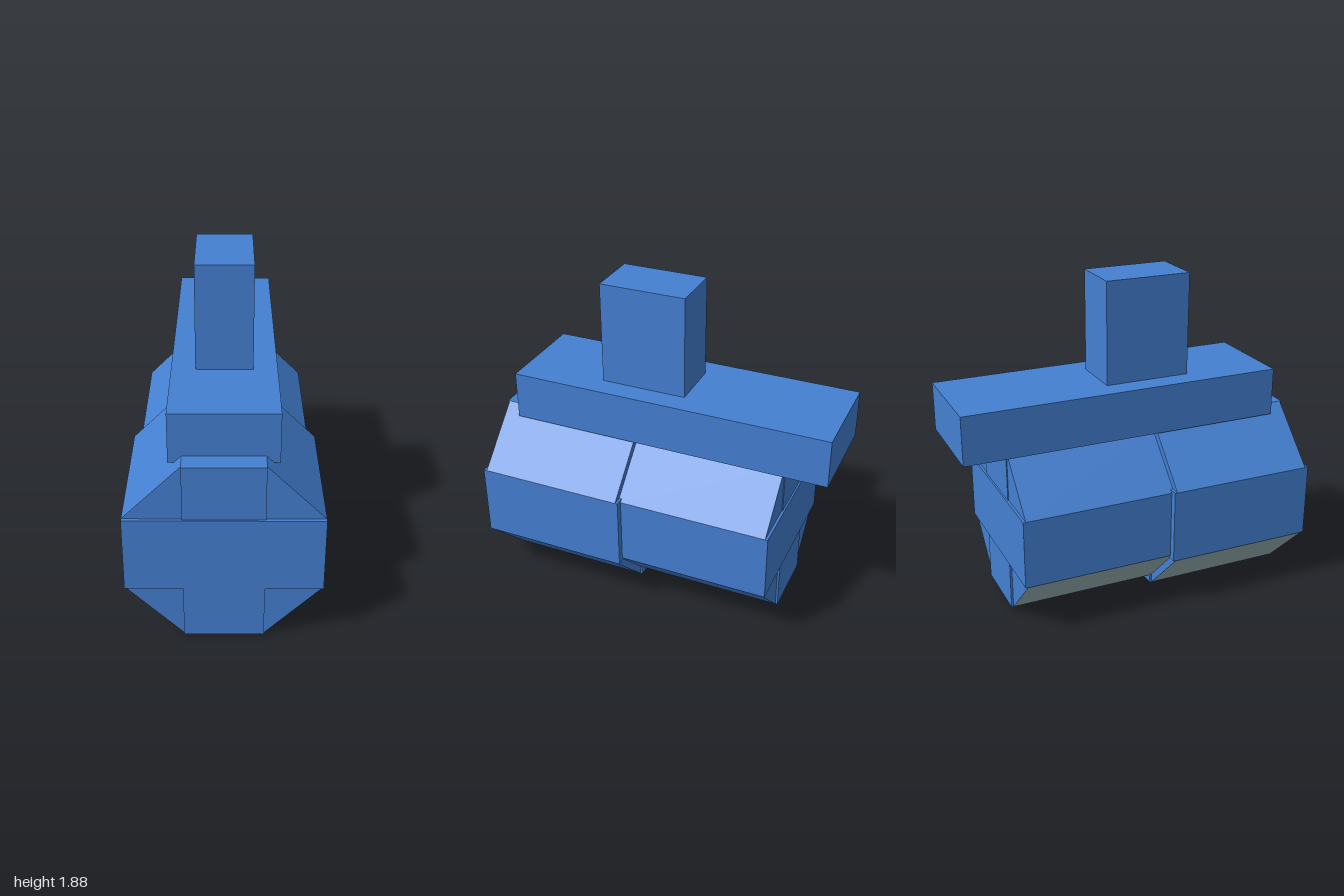
import * as THREE from 'three';

export function createModel() {
  const blue = new THREE.MeshStandardMaterial({ color: 0x4480d2 });
  blue.name = 'blue';
  const grey = new THREE.MeshStandardMaterial({ color: 0x9db6ba });
  grey.name = 'pale grey';

  const model = new THREE.Group();
  model.name = 'model';

  // Box given by its limits on each axis
  function box(name, parent, [x0, x1], [y0, y1], [z0, z1], material = blue) {
    const mesh = new THREE.Mesh(new THREE.BoxGeometry(x1 - x0, y1 - y0, z1 - z0), material);
    mesh.position.set((x0 + x1) / 2, (y0 + y1) / 2, (z0 + z1) / 2);
    mesh.name = name;
    parent.add(mesh);
  }

  // Triangular prism running along z
  function wedge(name, parent, corners, z0, z1, material) {
    const shape = new THREE.Shape(corners.map(([x, y]) => new THREE.Vector2(x, y)));
    const geometry = new THREE.ExtrudeGeometry(shape, { depth: z1 - z0, bevelEnabled: false });
    const mesh = new THREE.Mesh(geometry, material);
    mesh.position.z = z0;
    mesh.name = name;
    parent.add(mesh);
  }

  // Eight-sided body section: wide middle, narrow core and four corner wedges
  function bodySection(name, scale, z0, z1) {
    const group = new THREE.Group();
    group.name = name;
    const y = (v) => 0.525 + (v - 0.525) * scale;
    const outer = 0.525 * scale, inner = 0.215 * scale;
    const low = y(0.31), high = y(0.74), bottom = y(0), top = y(1.05);

    box('middle', group, [-outer, outer], [low, high], [z0, z1]);
    box('topRidge', group, [-inner, inner], [high, top], [z0 + 0.01, z1 - 0.01]);
    box('bottomKeel', group, [-inner, inner], [bottom, low], [z0 + 0.003, z1 - 0.003],
      [blue, blue, blue, grey, blue, blue]);

    for (const side of [1, -1]) {
      const label = side > 0 ? 'left' : 'right';
      wedge(label + 'UpperSlope', group,
        [[side * inner, high], [side * outer, high], [side * inner, top]],
        z0 + 0.015, z1 - 0.02, [blue, blue]);
      wedge(label + 'LowerSlope', group,
        [[side * inner, low], [side * outer, low], [side * inner, bottom]],
        z0 + 0.015, z1 - 0.015, [blue, side > 0 ? blue : grey]);
    }
    model.add(group);
  }

  bodySection('frontBody', 1, 0.125, 1);
  bodySection('rearBody', 0.923, -0.75, 0.16);

  // Rail lying on the body, with a post above it
  box('topRail', model, [-0.287, 0.287], [1.01, 1.29], [-1, 0.875]);
  box('post', model, [-0.156, 0.156], [1.29, 1.88], [-0.125, 0.375]);

  return model;
}
